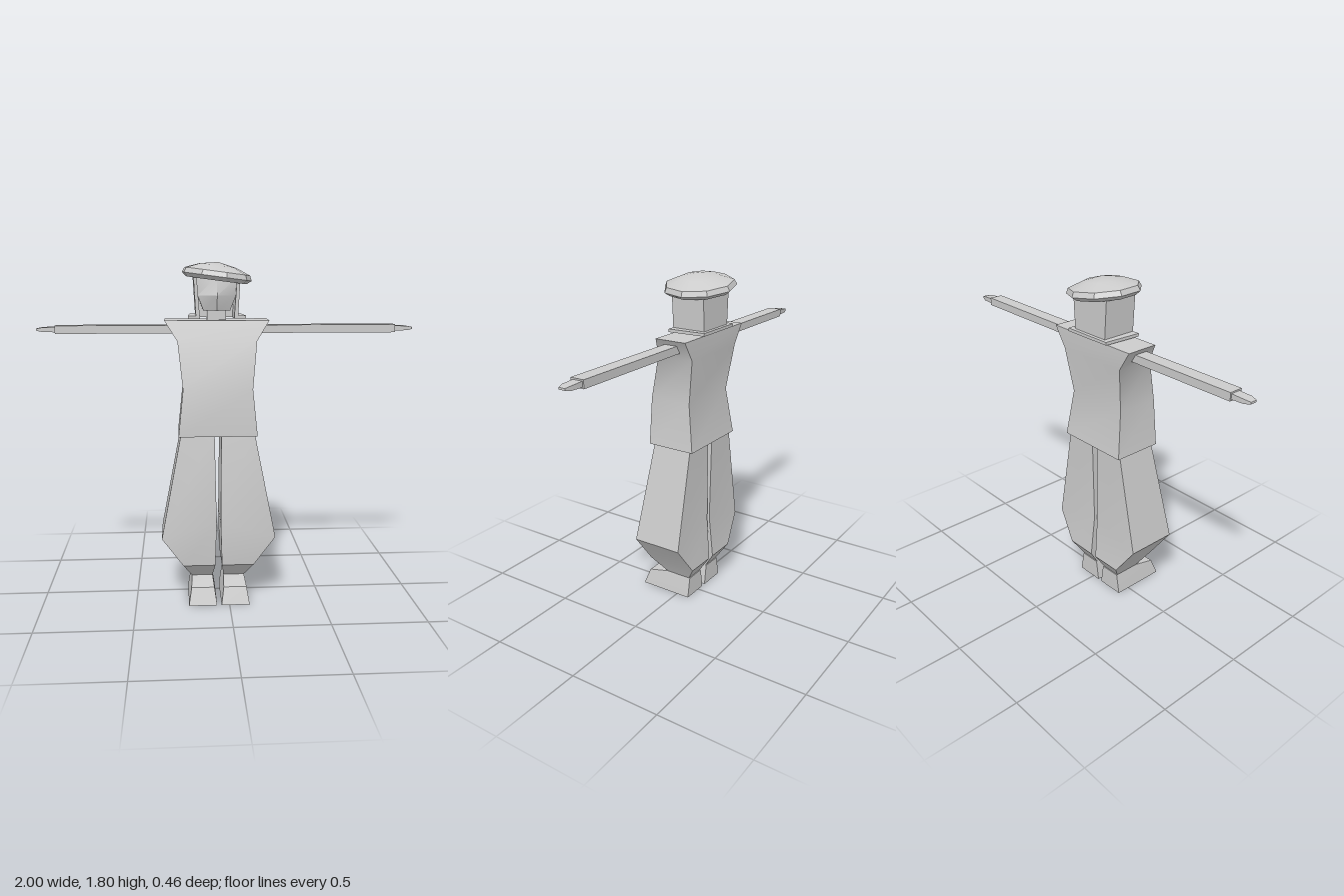
import * as THREE from 'three';
import { toCreasedNormals } from 'three/addons/utils/BufferGeometryUtils.js';

const CX = -0.055; // midline of the body
const material = new THREE.MeshStandardMaterial({ color: 0xcccccc });

// Skins a stack of rings (counter-clockwise from above), lowest first, and caps both ends
function loft(rings) {
  const n = rings[0].length;
  const index = [];
  for (let r = 0; r < rings.length - 1; r++) {
    for (let i = 0; i < n; i++) {
      const a = r * n + i, b = r * n + ((i + 1) % n);
      index.push(a, b, b + n, a, b + n, a + n);
    }
  }
  const top = (rings.length - 1) * n;
  for (let i = 1; i < n - 1; i++) {
    index.push(0, i + 1, i, top, top + i, top + i + 1);
  }
  const geometry = new THREE.BufferGeometry();
  geometry.setAttribute('position', new THREE.Float32BufferAttribute(rings.flat(2), 3));
  geometry.setIndex(index);
  return toCreasedNormals(geometry, 0.5);
}

// Four-cornered ring; the left and right edges may sit at different heights
function quad(x0, x1, y0, y1, back, front) {
  return [[x0, y0, front], [x1, y1, front], [x1, y1, back], [x0, y0, back]];
}
const level = (x0, x1, y, back, front) => quad(x0, x1, y, y, back, front);

// Ring set out from the midline on one side of the body
function sideRing(side, inner, outer, yInner, yOuter, back, front) {
  return side > 0
    ? quad(inner, outer, yInner, yOuter, back, front)
    : quad(-outer, -inner, yOuter, yInner, back, front);
}

function createModel() {
  const model = new THREE.Group();
  const body = new THREE.Group();
  body.name = 'body';
  body.position.x = CX;
  model.add(body);

  const add = (name, geometry, parent = body) => {
    const mesh = new THREE.Mesh(geometry, material);
    mesh.name = name;
    parent.add(mesh);
    return mesh;
  };

  // Tunic with pinched waist and flared shoulders
  add('tunic', loft([
    level(-0.208, 0.208, 0.905, -0.13, 0.14),
    level(-0.182, 0.182, 1.155, -0.095, 0.14),
    level(-0.208, 0.208, 1.4, -0.13, 0.076),
    level(-0.275, 0.275, 1.505, -0.132, 0.043),
  ]));

  for (const side of [1, -1]) {
    const label = side > 0 ? 'left' : 'right';

    // Baggy trouser leg gathered at the ankle
    add(label + 'TrouserLeg', loft([
      sideRing(side, 0.03, 0.143, 0.115, 0.115, -0.07, 0.076),
      sideRing(side, 0.018, 0.19, 0.2, 0.2, -0.124, 0.157),
      sideRing(side, 0.011, 0.303, 0.44, 0.36, -0.104, 0.176),
      sideRing(side, 0.018, 0.194, 0.92, 0.92, -0.11, 0.114),
    ]));

    // Shoe with sloping toe
    const sole = sideRing(side, 0.012, 0.163, 0, 0, -0.075, 0.228);
    const upper = sideRing(side, 0.025, 0.148, 0.09, 0.09, -0.075, 0.195);
    const ankle = sideRing(side, 0.03, 0.143, 0.115, 0.115, -0.075, 0.076);
    add(label + 'Shoe', loft([sole, upper, ankle]));

    // Straight sleeve and tapered hand, lofted upright then laid sideways
    const start = side > 0 ? 0.15 : 0.26;
    const sleeve = loft([
      level(-0.021, 0.021, start, -0.072, 0.002),
      level(-0.021, 0.021, 0.9, -0.072, 0.002),
    ]);
    const hand = loft([
      level(-0.014, 0.014, 0.89, -0.065, -0.012),
      level(-0.011, 0.011, 0.97, -0.065, -0.012),
      level(-0.005, 0.005, 1, -0.056, -0.02),
    ]);
    const arm = new THREE.Group();
    arm.name = label + 'Arm';
    arm.position.y = 1.457;
    arm.rotation.z = -side * Math.PI / 2;
    model.add(arm);
    add(label + 'Sleeve', sleeve, arm);
    add(label + 'Hand', hand, arm);
  }

  add('neck', loft([
    level(-0.05, 0.05, 1.49, -0.07, -0.015),
    level(-0.05, 0.05, 1.57, -0.07, -0.015),
  ]));

  // Face with a ridge down the middle
  const faceRing = (w, y, side, ridge) => [
    [-w, y, side], [0, y, ridge], [w, y, side], [w, y, -0.12], [-w, y, -0.12],
  ];
  add('face', loft([
    faceRing(0.07, 1.555, 0.02, 0.045),
    faceRing(0.1, 1.633, 0.035, 0.076),
    faceRing(0.11, 1.73, 0.03, 0.05),
  ]));

  // Hair: back panel, two side panels and a flared rim open at the front
  add('hairBack', loft([
    level(-0.105, 0.105, 1.525, -0.138, -0.1),
    level(-0.115, 0.115, 1.73, -0.138, -0.1),
  ]));
  for (const side of [1, -1]) {
    add(side > 0 ? 'leftHair' : 'rightHair', loft([
      sideRing(side, 0.09, 0.11, 1.525, 1.525, -0.138, 0.05),
      sideRing(side, 0.105, 0.122, 1.73, 1.73, -0.138, 0.05),
    ]));
  }
  const rim = new THREE.Shape([
    [-0.152, -0.05], [-0.09, -0.05], [-0.09, 0.1], [0.09, 0.1],
    [0.09, -0.05], [0.152, -0.05], [0.14, 0.157], [-0.14, 0.157],
  ].map(([x, y]) => new THREE.Vector2(x, y)));
  const rimGeometry = new THREE.ExtrudeGeometry(rim, { depth: 0.016, bevelEnabled: false });
  rimGeometry.rotateX(-Math.PI / 2);
  add('hairRim', rimGeometry).position.y = 1.514;

  // Nine-sided cap, tilted to one side
  const profile = [[0, -0.028], [0.165, -0.028], [0.19, -0.008], [0.178, 0.018], [0.1, 0.048], [0, 0.066]];
  const capGeometry = new THREE.LatheGeometry(
    profile.map(([r, y]) => new THREE.Vector2(r, y)), 9, Math.PI - 0.11);
  const cap = add('cap', toCreasedNormals(capGeometry, 0.5));
  cap.position.set(0.002, 1.738, -0.04);
  cap.rotation.z = -0.13;

  return model;
}

export { createModel };
